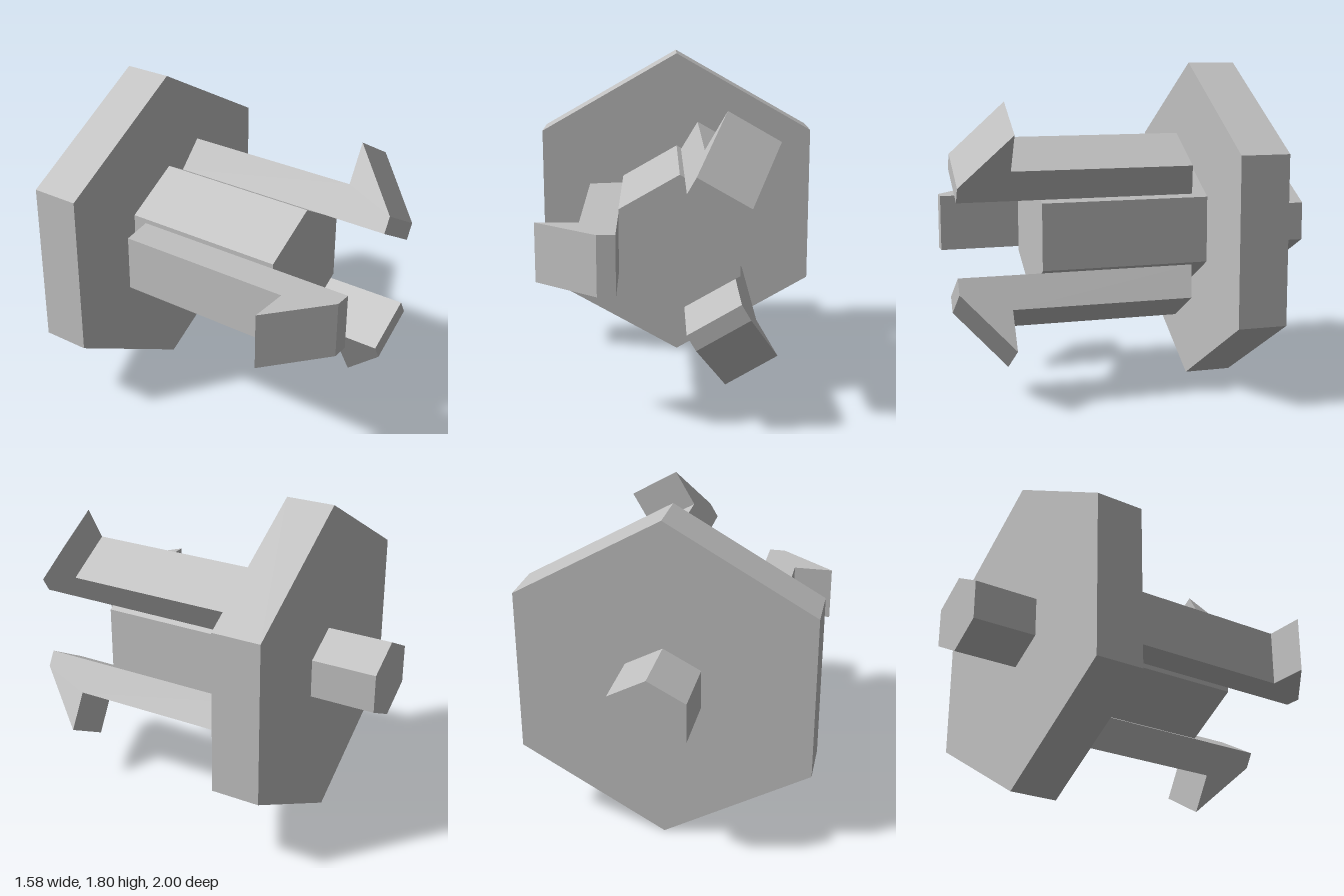
import * as THREE from 'three';

const CENTER_Y = 0.902;

export function createModel() {
  const model = new THREE.Group();
  model.name = 'hexHub';
  const grey = new THREE.MeshStandardMaterial({ color: 0xc0c0c0, flatShading: true });
  grey.name = 'plain grey';

  // Six-sided prism along z, with a corner pointing up
  function hexPrism(name, halfWidth, halfHeight, zBack, zFront) {
    const geo = new THREE.CylinderGeometry(1, 1, zFront - zBack, 6);
    geo.rotateX(Math.PI / 2);
    geo.scale(halfWidth / Math.cos(Math.PI / 6), halfHeight, 1);
    geo.translate(0, CENTER_Y, (zBack + zFront) / 2);
    const mesh = new THREE.Mesh(geo, grey);
    mesh.name = name;
    model.add(mesh);
  }
  hexPrism('rearStub', 0.201, 0.214, -1, -0.64);
  hexPrism('hexPlate', 0.79, 0.902, -0.64, -0.372);
  hexPrism('frontBody', 0.317, 0.361, -0.372, 0.553);

  // Hooked arm profile: distance from the axis, then z
  const profile = [
    [0.317, -0.292], [0.508, -0.26], [0.508, 0.73],
    [0.733, 0.73], [0.41, 1], [0.317, 1],
  ].map(([r, z]) => new THREE.Vector2(r, z));
  const width = 0.31;
  const armGeo = new THREE.ExtrudeGeometry(new THREE.Shape(profile), { depth: width, bevelEnabled: false });
  armGeo.translate(0, 0, -width / 2);
  armGeo.rotateX(Math.PI / 2);

  // Three arms on alternate sides of the body
  [60, 180, 300].forEach((angle, i) => {
    const arm = new THREE.Mesh(armGeo, grey);
    arm.name = 'hookedArm' + (i + 1);
    arm.position.y = CENTER_Y;
    arm.rotation.z = THREE.MathUtils.degToRad(angle);
    model.add(arm);
  });
  return model;
}
